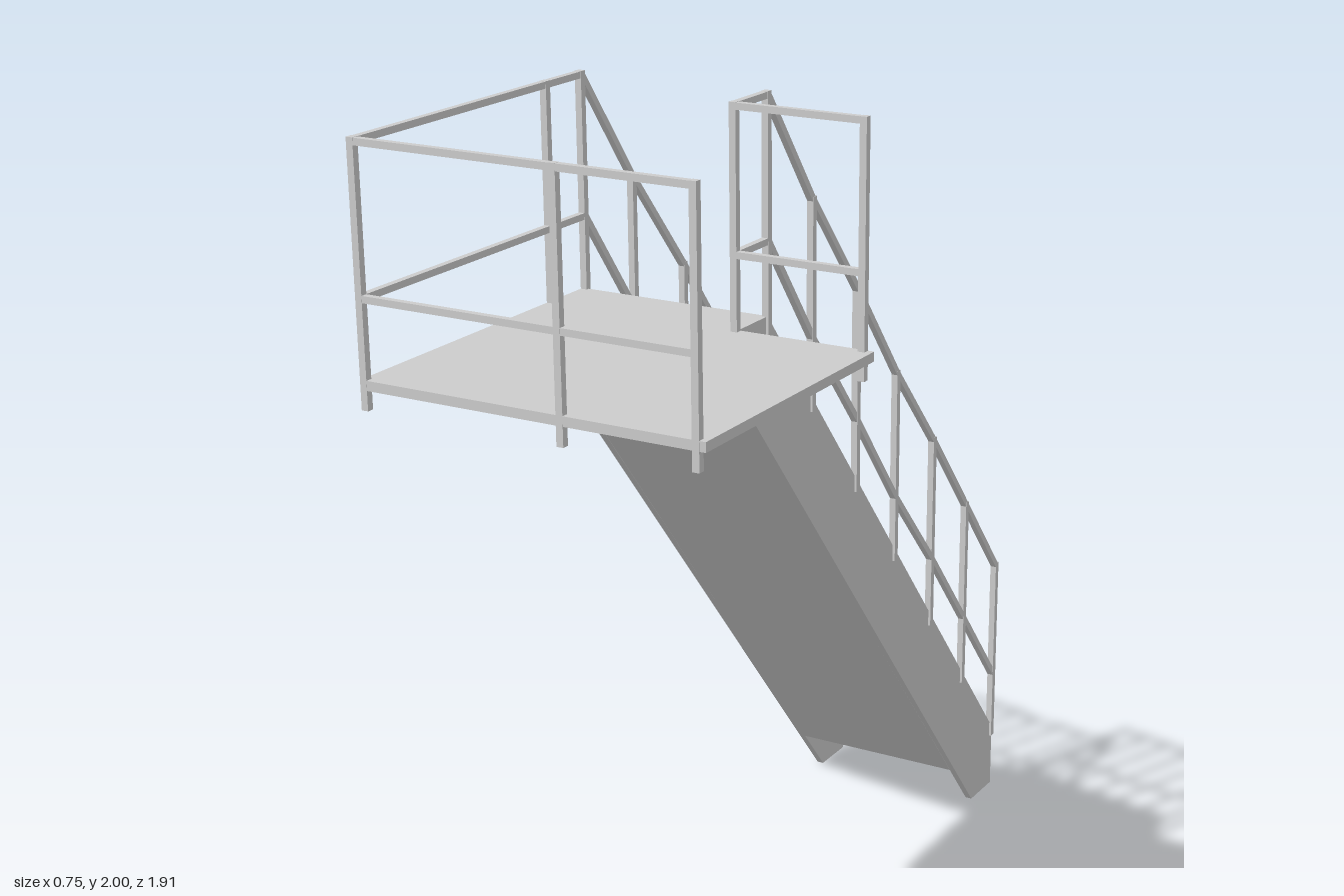
import * as THREE from 'three';

const mat = new THREE.MeshStandardMaterial({ color: 0xcccccc, flatShading: true });
const T = 0.015;                 // railing bar thickness
const XR = -0.371, XL = 0.069;   // railing lines above the two stringers

function add(group, name, geometry) {
  const mesh = new THREE.Mesh(geometry, mat);
  mesh.name = name;
  group.add(mesh);
  return mesh;
}

// Square bar between two points
function bar(group, name, a, b, t = T) {
  const p = new THREE.Vector3(...a), q = new THREE.Vector3(...b);
  const mesh = add(group, name, new THREE.BoxGeometry(t, t, p.distanceTo(q)));
  mesh.position.copy(p).lerp(q, 0.5);
  if (a[0] === b[0] && a[2] === b[2]) mesh.rotation.x = Math.PI / 2;
  else mesh.lookAt(q);
}

// Extrude a (z, y) side profile from x0 to x1
function sideProfile(points, x0, x1) {
  const shape = new THREE.Shape(points.map(([z, y]) => new THREE.Vector2(-z, y)));
  const geo = new THREE.ExtrudeGeometry(shape, { depth: x1 - x0, bevelEnabled: false });
  return geo.rotateY(Math.PI / 2).translate(x0, 0, 0);
}

// Top and middle rail through a list of [x, topY, z] points
function rails(group, pts) {
  for (let i = 1; i < pts.length; i++) {
    for (const [name, drop] of [['topRail', T / 2], ['middleRail', 0.303]]) {
      const [a, b] = [pts[i - 1], pts[i]].map(([x, y, z]) => [x, y - drop, z]);
      bar(group, name, a, b, 0.014);
    }
  }
}

export function createModel() {
  const model = new THREE.Group();
  model.name = 'staircaseWithLanding';

  // Sloping side plates
  const plate = [[0.32, 1.535], [0.2, 1.535], [-0.957, 0.16], [-0.957, 0], [-0.845, 0], [0.32, 1.4]];
  add(model, 'rightStringer', sideProfile(plate, -0.378, -0.362));
  add(model, 'leftStringer', sideProfile(plate, 0.055, 0.071));

  // Stepped body with a flat sloping underside
  const rise = 0.14, run = 0.1165, z0 = -0.957;
  const steps = [[z0, 0.12]];
  for (let i = 0; i < 10; i++) {
    steps.push([z0 + run * i, rise * (i + 1)], [z0 + run * (i + 1), rise * (i + 1)]);
  }
  steps.push([z0 + run * 10, 1.525], [0.319, 1.525], [0.319, 1.401], [-0.744, 0.12]);
  add(model, 'steps', sideProfile(steps, -0.363, 0.056));

  // L-shaped landing
  const deck = new THREE.Shape([
    [-0.378, -0.957], [0.376, -0.957], [0.376, -0.322], [0.071, -0.322], [0.071, -0.203], [-0.378, -0.203],
  ].map(([x, y]) => new THREE.Vector2(x, y)));
  add(model, 'landing', new THREE.ExtrudeGeometry(deck, { depth: 0.02, bevelEnabled: false })
    .rotateX(-Math.PI / 2).translate(0, 1.52, 0));

  // Landing railings
  const landing = new THREE.Group();
  landing.name = 'landingRailing';
  model.add(landing);
  const zF = 0.95, zB = 0.33, zS = 0.203, xE = 0.355;
  for (const [x, z] of [[XR, zF], [XL, zF], [xE, zF], [XR, zB], [XL, zB], [xE, zB], [XR, zS], [XL, zS]]) {
    bar(landing, 'landingPost', [x, 1.48, z], [x, 2, z]);
  }
  rails(landing, [[xE, 2, zF], [XR, 2, zF], [XR, 2, zS]]);
  rails(landing, [[xE, 2, zB], [XL, 2, zB], [XL, 2, zS]]);

  // Stair railings: [z, top of post]
  const posts = [[zS, 2], [0.015, 1.75], [-0.19, 1.51], [-0.383, 1.27], [-0.578, 1.055], [-0.765, 0.835], [-0.95, 0.615]];
  for (const [name, x] of [['rightStairRailing', XR], ['leftStairRailing', XL]]) {
    const group = new THREE.Group();
    group.name = name;
    model.add(group);
    posts.slice(1).forEach(([z, y]) =>
      bar(group, 'stairPost', [x, 1.525 - (0.2 - z) * 1.188 - 0.02, z], [x, y, z]));
    rails(group, posts.map(([z, y]) => [x, y, z]));
  }
  return model;
}
